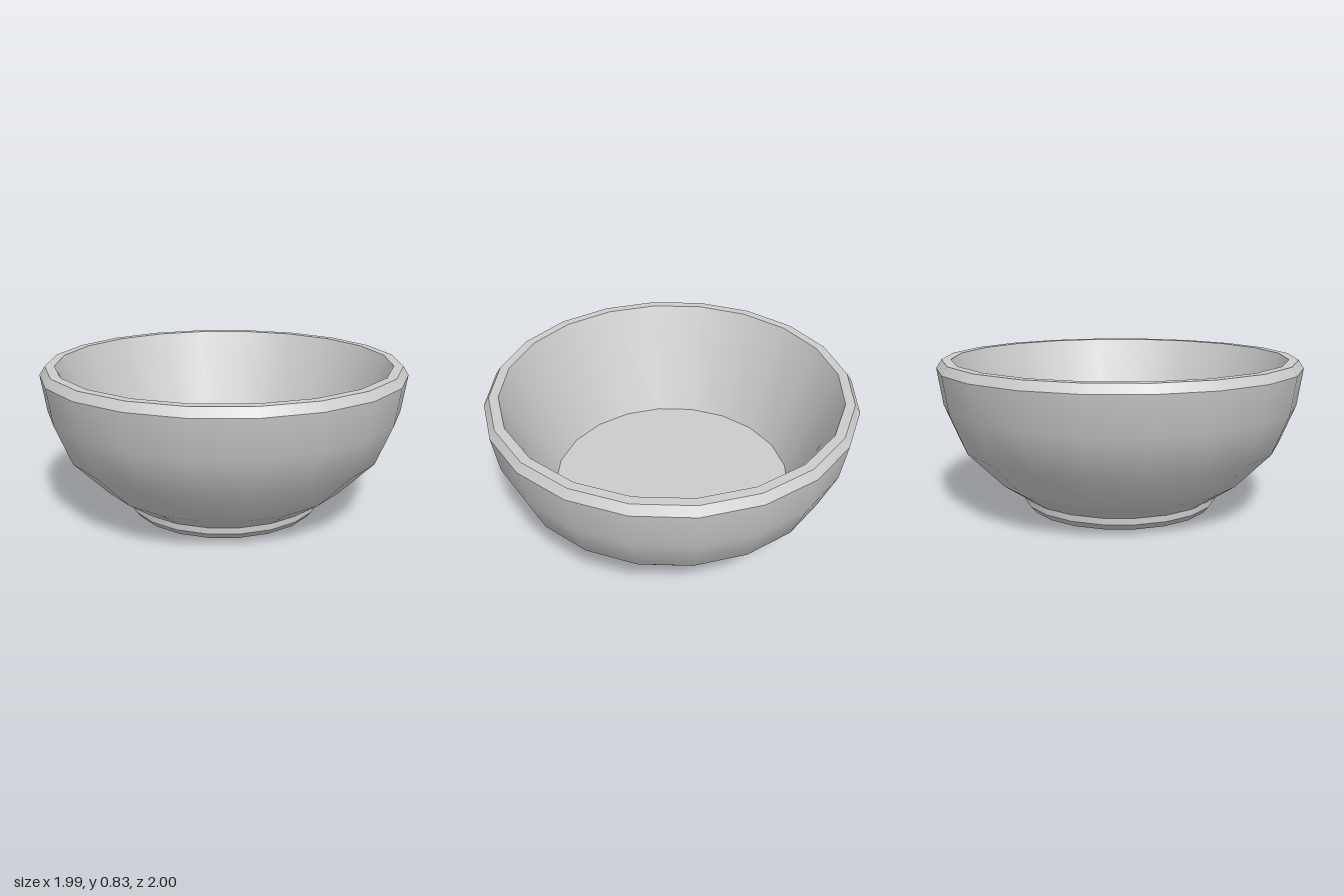
import * as THREE from 'three';

const SIDES = 20;
const OVAL = 1.005; // the plan is very slightly deeper than wide

export function createModel() {
  const bowl = new THREE.Group();
  bowl.name = 'bowl';
  const grey = new THREE.MeshStandardMaterial({ color: 0xcccccc });
  grey.name = 'plain grey';

  // Each section is smooth inside and meets its neighbours at a sharp edge.
  const section = (name, profile) => {
    const points = profile.map(([r, y]) => new THREE.Vector2(r, y));
    const geometry = new THREE.LatheGeometry(points, SIDES).scale(1, 1, OVAL);
    const mesh = new THREE.Mesh(geometry, grey);
    mesh.name = name;
    bowl.add(mesh);
  };

  // Foot
  section('footBase', [[0, 0], [0.51, 0]]);
  section('footChamfer', [[0.51, 0], [0.54, 0.035]]);
  section('footSide', [[0.54, 0.035], [0.54, 0.07]]);

  // Outer wall
  section('underside', [[0.54, 0.07], [0.685, 0.17]]);
  section('outerWall', [[0.685, 0.17], [0.877, 0.368], [0.965, 0.585], [0.995, 0.788]]);

  // Rim
  section('rimChamfer', [[0.995, 0.788], [0.965, 0.833]]);
  section('rimTop', [[0.965, 0.833], [0.915, 0.833]]);

  // Straight tapered inner wall and flat floor
  section('innerWall', [[0.915, 0.833], [0.67, 0.22]]);
  section('innerFloor', [[0.67, 0.22], [0, 0.22]]);

  return bowl;
}
